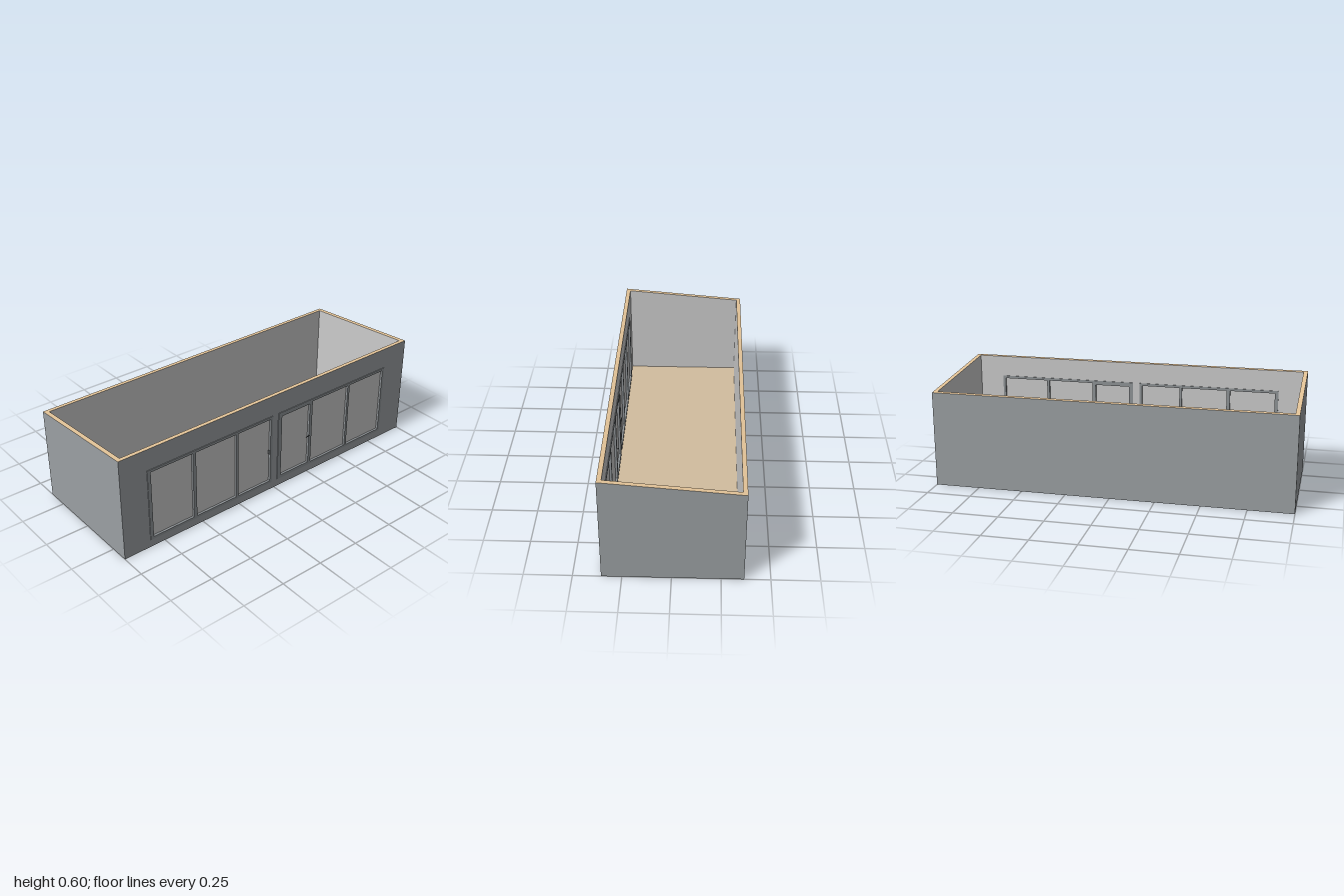
import * as THREE from 'three';

const W = 1, FRONT = 0.355, BACK = -0.366, T = 0.024;   // shell limits and wall thickness
const mat = (color, side = THREE.FrontSide) => new THREE.MeshStandardMaterial({ color, side });

// Roof line falls from front to back
const topY = z => 0.537 + 0.06 * (z - BACK) / (FRONT - BACK);

function rect(path, [x0, x1, y0, y1]) {
  path.moveTo(x0, y0);
  path.lineTo(x1, y0);
  path.lineTo(x1, y1);
  path.lineTo(x0, y1);
  path.closePath();
  return path;
}

// Flat panel with rectangular openings, between two z positions
function panel(outline, holes, z0, z1) {
  const shape = rect(new THREE.Shape(), outline);
  holes.forEach(h => shape.holes.push(rect(new THREE.Path(), h)));
  const g = new THREE.ExtrudeGeometry(shape, { depth: z1 - z0, bevelEnabled: false });
  return g.translate(0, 0, z0);
}

// Raise the upper corners to the sloping roof line
function slopeTop(g) {
  const p = g.attributes.position;
  for (let i = 0; i < p.count; i++) if (p.getY(i) > 0.5) p.setY(i, topY(p.getZ(i)));
  g.computeVertexNormals();
  return g;
}

function box(x0, x1, y0, y1, z0, z1) {
  return new THREE.BoxGeometry(x1 - x0, y1 - y0, z1 - z0)
    .translate((x0 + x1) / 2, (y0 + y1) / 2, (z0 + z1) / 2);
}

export function createModel() {
  const model = new THREE.Group();
  const outer = mat(0x9ba0a3), inner = mat(0xcccccc), wood = mat(0xe6c69a);
  const floorTop = mat(0xd2bd9f), frameMat = mat(0x8f9497), dark = mat(0x55585a);
  const add = (parent, name, geometry, material) => {
    const m = new THREE.Mesh(geometry, material);
    m.name = name;
    parent.add(m);
    return m;
  };

  // Walls: grey outside, light inside, bare wood on the edges
  add(model, 'leftWall', slopeTop(box(W - T, W, 0, 0.6, BACK, FRONT)),
    [outer, inner, wood, wood, outer, outer]);
  add(model, 'rightWall', slopeTop(box(-W, -W + T, 0, 0.6, BACK, FRONT)),
    [inner, outer, wood, wood, outer, outer]);
  add(model, 'backWall', slopeTop(box(-W + T, W - T, 0, 0.6, BACK, BACK + T)),
    [wood, wood, wood, wood, inner, outer]);

  // Two glazed units, each a frame outline and its panes [x0, x1, y0, y1]
  const units = [
    { name: 'rightGlazing', outline: [-0.84, -0.02, 0.045, 0.475],
      panes: [[-0.82, -0.56, 0.06, 0.46], [-0.54, -0.275, 0.06, 0.46], [-0.26, -0.035, 0.06, 0.46]] },
    { name: 'leftGlazing', outline: [0.02, 0.835, 0.045, 0.475],
      panes: [[0.045, 0.25, 0.065, 0.45], [0.27, 0.54, 0.06, 0.46], [0.555, 0.82, 0.06, 0.46]] },
  ];

  // Front wall in two layers, with an opening for each unit
  const openings = units.map(u => u.outline);
  const wall = [-W + T, W - T, 0, 0.6], inside = FRONT - T, mid = FRONT - T / 2;
  add(model, 'frontWallOutside', slopeTop(panel(wall, openings, mid, FRONT)), [outer, wood]);
  add(model, 'frontWallInside', slopeTop(panel(wall, openings, inside, mid)), [inner, wood]);

  // Frames stand slightly proud of both wall faces; panes sit in the middle
  for (const u of units) {
    const unit = new THREE.Group();
    unit.name = u.name;
    add(unit, 'frame', panel(u.outline, u.panes, inside - 0.004, FRONT + 0.004), frameMat);
    u.panes.forEach(([x0, x1, y0, y1], i) =>
      add(unit, 'pane' + (i + 1), box(x0, x1, y0, y1, mid - 0.003, mid + 0.003), inner));
    model.add(unit);
  }

  // Door handle: rose, spindle and lever on both faces
  const handle = new THREE.Group();
  handle.name = 'doorHandle';
  for (const s of [-1, 1]) {
    const face = s > 0 ? FRONT + 0.004 : inside - 0.004;
    const spindle = new THREE.CylinderGeometry(0.002, 0.002, 0.008, 10).rotateX(Math.PI / 2);
    add(handle, 'spindle', spindle.translate(0.248, 0.246, face + s * 0.004), dark);
    const rose = new THREE.CylinderGeometry(0.004, 0.004, 0.002, 12).rotateX(Math.PI / 2);
    add(handle, 'rose', rose.translate(0.248, 0.246, face + s * 0.001), dark);
    const z = face + s * 0.007;
    add(handle, 'lever', box(0.226, 0.25, 0.244, 0.248, z - 0.0015, z + 0.0015), dark);
  }
  model.add(handle);

  // Small upright pull on the sliding panel
  add(model, 'slidingPull', box(-0.04, -0.035, 0.236, 0.26, inside - 0.007, FRONT + 0.006), dark);

  // Floor slab, set a little above the wall bottoms
  add(model, 'floor', box(-W + T, W - T, 0.018, 0.036, BACK + T, inside),
    [wood, wood, floorTop, outer, wood, wood]);

  return model;
}
